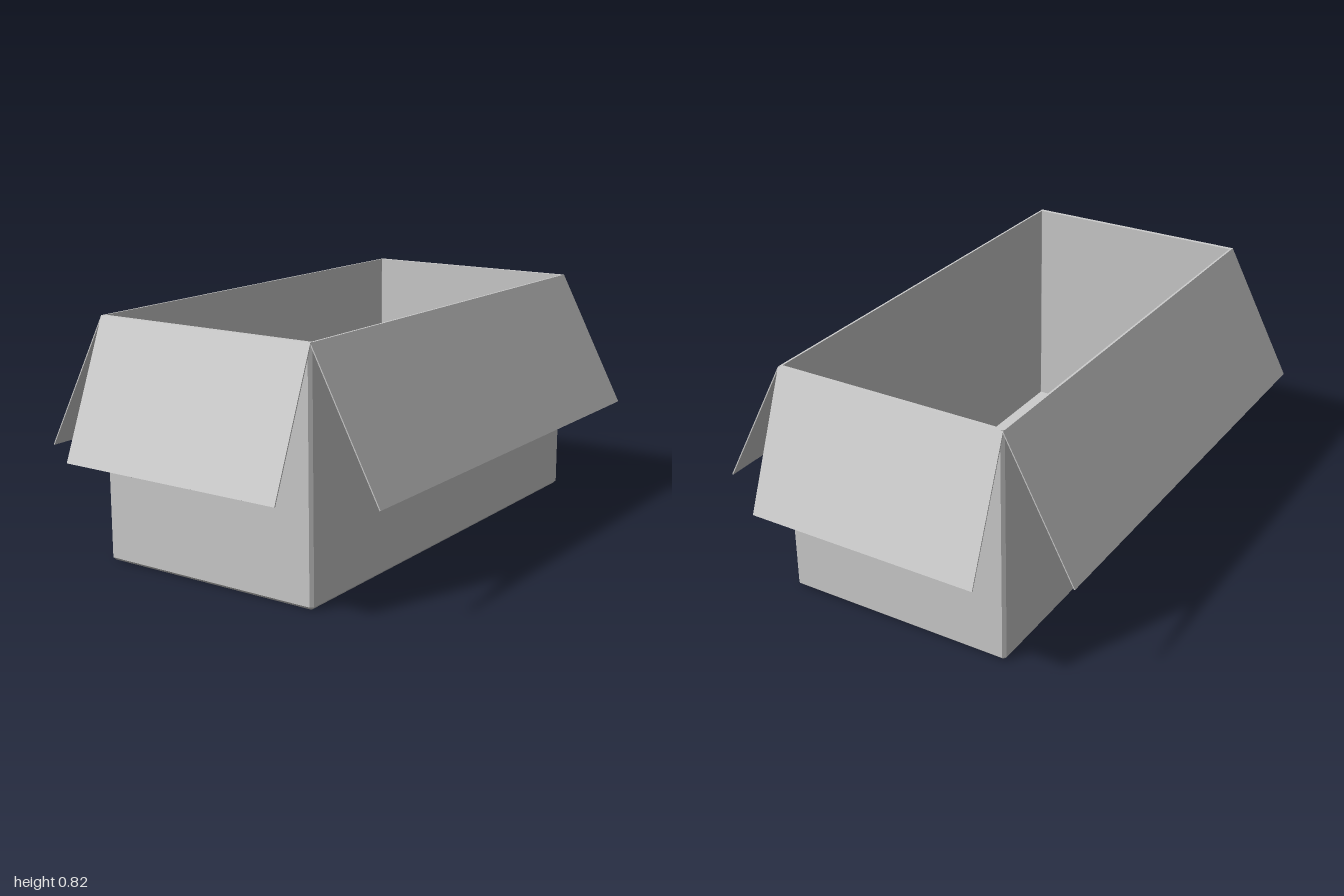
import * as THREE from 'three';

const W = 0.41, D = 0.82, H = 0.82; // half width, half depth, height

// Rectangle with cut corners, counter-clockwise seen from above
function ring(hx, hz, cut, y) {
  return [
    [hx, hz - cut], [hx, -hz + cut], [hx - cut, -hz], [-hx + cut, -hz],
    [-hx, -hz + cut], [-hx, hz - cut], [-hx + cut, hz], [hx - cut, hz],
  ].map(([x, z]) => new THREE.Vector3(x, y, z));
}

// Skin through a list of rings, closed with a flat cap at both ends
function skin(rings) {
  const points = [];
  for (let r = 0; r + 1 < rings.length; r++) {
    const a = rings[r], b = rings[r + 1];
    for (let i = 0; i < 8; i++) {
      const j = (i + 1) % 8;
      points.push(a[i], a[j], b[j], a[i], b[j], b[i]);
    }
  }
  const first = rings[0], last = rings[rings.length - 1];
  for (let i = 1; i < 7; i++) {
    points.push(first[0], first[i + 1], first[i]);
    points.push(last[0], last[i], last[i + 1]);
  }
  const geometry = new THREE.BufferGeometry().setFromPoints(points);
  geometry.computeVertexNormals();
  return geometry;
}

export function createModel() {
  const group = new THREE.Group();
  const cardboard = new THREE.MeshStandardMaterial({ color: 0xcccccc });
  cardboard.name = 'pale grey card';

  // Open tray: bevelled base, outer walls, rim, inner walls, floor
  const body = new THREE.Mesh(skin([
    ring(W - 0.01, D - 0.01, 0.003, 0),
    ring(W, D, 0.01, 0.01),
    ring(W, D, 0.01, H),
    ring(W - 0.007, D - 0.015, 0.001, H),
    ring(W - 0.007, D - 0.015, 0.001, 0.012),
  ]), cardboard);
  body.name = 'boxBody';
  group.add(body);

  // Flap hinged on the rim, hanging outwards along +z before turning
  function addFlap(name, turn, hinge, reach, drop, width) {
    const length = Math.hypot(reach, drop), thick = 0.004;
    const geometry = new THREE.BoxGeometry(width, length, thick);
    geometry.translate(0, -length / 2, -thick / 2);
    geometry.rotateX(-Math.atan2(reach, drop));
    geometry.translate(0, H, hinge);
    geometry.rotateY(turn);
    const flap = new THREE.Mesh(geometry, cardboard);
    flap.name = name;
    group.add(flap);
  }
  addFlap('frontFlap', 0, D, 0.18, 0.447, 2 * W);
  addFlap('backFlap', Math.PI, D, 0.18, 0.447, 2 * W);
  addFlap('leftFlap', Math.PI / 2, W, 0.243, 0.461, 2 * D);
  addFlap('rightFlap', -Math.PI / 2, W, 0.243, 0.461, 2 * D);

  return group;
}
